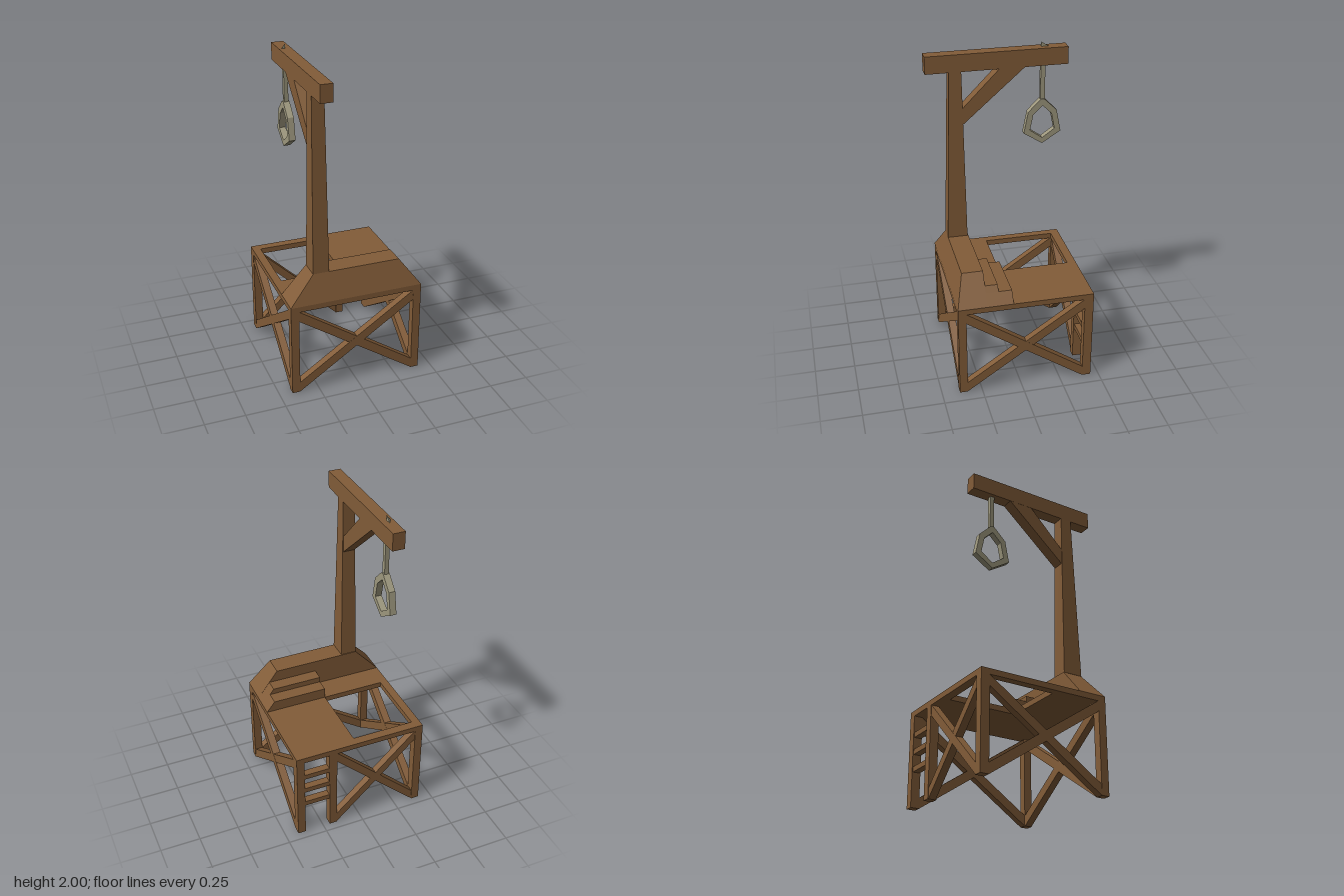
import * as THREE from 'three';
import { ConvexGeometry } from 'three/addons/geometries/ConvexGeometry.js';

const wood = new THREE.MeshStandardMaterial({ color: 0x825c38, flatShading: true });
const rope = new THREE.MeshStandardMaterial({ color: 0x9e987e, flatShading: true });

export function createModel() {
  const model = new THREE.Group();

  const add = (name, geometry, material = wood) => {
    const mesh = new THREE.Mesh(geometry, material);
    mesh.name = name;
    model.add(mesh);
    return mesh;
  };

  // Solid between two rectangles [x0, x1, z0, z1] at heights y0 and y1
  const block = (name, y0, y1, low, high = low, material = wood) => {
    const geometry = new THREE.BoxGeometry(1, 1, 1);
    const p = geometry.attributes.position;
    for (let i = 0; i < p.count; i++) {
      const up = p.getY(i) > 0;
      const r = up ? high : low;
      p.setXYZ(i, r[p.getX(i) > 0 ? 1 : 0], up ? y1 : y0, r[p.getZ(i) > 0 ? 3 : 2]);
    }
    geometry.computeVertexNormals();
    return add(name, geometry, material);
  };

  const toShape = (points) => new THREE.Shape(points.map(([a, b]) => new THREE.Vector2(a, b)));
  const extrude = (shape, depth) => new THREE.ExtrudeGeometry(shape, { depth, bevelEnabled: false })
    .translate(0, 0, -depth / 2);
  // Outline given as (z, y), extruded along x
  const sideways = (shape, depth, x) => extrude(shape, depth).rotateY(-Math.PI / 2).translate(x, 0, 0);

  // Deck with a rectangular trapdoor opening
  const deck = toShape([[-0.42, -0.45], [0.42, -0.45], [0.42, 0.39], [-0.42, 0.39]]);
  deck.holes.push(toShape([[-0.37, -0.395], [-0.37, 0.05], [0.025, 0.05], [0.025, -0.395]]));
  add('deck', extrude(deck, 0.035).rotateX(Math.PI / 2).translate(0, 0.5825, 0));

  // Corner legs and the extra leg beside the ladder
  for (const [x0, x1] of [[-0.42, -0.37], [0.37, 0.42]]) {
    for (const [z0, z1] of [[-0.45, -0.395], [0.34, 0.39]]) block('leg', 0, 0.566, [x0, x1, z0, z1]);
  }
  block('ladderLeg', 0, 0.566, [0.157, 0.207, -0.45, -0.395]);

  // Crossed braces between legs
  const cross = (name, a, b, place) => {
    const rising = toShape([[a, 0], [b, 0.5], [b, 0.566], [a, 0.066]]);
    const falling = toShape([[a, 0.5], [b, 0], [b, 0.066], [a, 0.566]]);
    add(name, place(rising, 0.048));
    add(name, place(falling, 0.046));
  };
  cross('frontBrace', -0.37, 0.37, (s, d) => extrude(s, d).translate(0, 0, 0.365));
  cross('backBrace', -0.37, 0.157, (s, d) => extrude(s, d).translate(0, 0, -0.423));
  for (const x of [-0.395, 0.395]) cross('sideBrace', -0.395, 0.34, (s, d) => sideways(s, d, x));

  // Ladder rungs
  for (const y of [0.23, 0.338, 0.445]) block('rung', y - 0.016, y + 0.016, [0.207, 0.37, -0.445, -0.4]);

  // Raised sloping base and the steps up to it
  block('raisedBase', 0.6, 0.775, [-0.42, 0.42, 0.21, 0.39], [-0.262, 0.288, 0.21, 0.34]);
  block('lowerStep', 0.6, 0.667, [0.025, 0.42, 0.05, 0.21], [0.025, 0.368, 0.05, 0.21]);
  block('upperStep', 0.667, 0.702, [0.025, 0.368, 0.132, 0.21], [0.025, 0.342, 0.132, 0.21]);

  // Tapered upright, overhead beam and diagonal support
  block('upright', 0.775, 1.865, [-0.263, -0.162, 0.215, 0.34], [-0.25, -0.174, 0.23, 0.304]);
  block('beam', 1.863, 1.97, [-0.25, -0.174, -0.422, 0.446]);
  add('beamSupport', sideways(
    toShape([[0.24, 1.515], [0.24, 1.62], [0.225, 1.635], [0, 1.864], [-0.157, 1.864], [0.224, 1.53]]), 0.074, -0.212));

  // Hanging rope, its cut end above the beam, and the loop
  block('rope', 1.61, 1.9, [-0.226, -0.2, -0.288, -0.26], undefined, rope);
  add('ropeEnd', new ConvexGeometry([
    new THREE.Vector3(-0.212, 2, -0.264), new THREE.Vector3(-0.212, 1.965, -0.316),
    new THREE.Vector3(-0.24, 1.965, -0.264), new THREE.Vector3(-0.212, 1.965, -0.264),
  ]), rope);
  const mirrored = (top, bottom, sides) => toShape([
    [-0.273, top], ...sides.map(([w, y]) => [-0.273 - w, y]), [-0.273, bottom],
    ...sides.map(([w, y]) => [-0.273 + w, y]).reverse(),
  ]);
  const loop = mirrored(1.645, 1.353, [[0.015, 1.64], [0.09, 1.565], [0.117, 1.427]]);
  loop.holes.push(mirrored(1.602, 1.39, [[0.058, 1.545], [0.078, 1.445]]));
  add('ropeLoop', sideways(loop, 0.04, -0.213), rope);

  return model;
}
